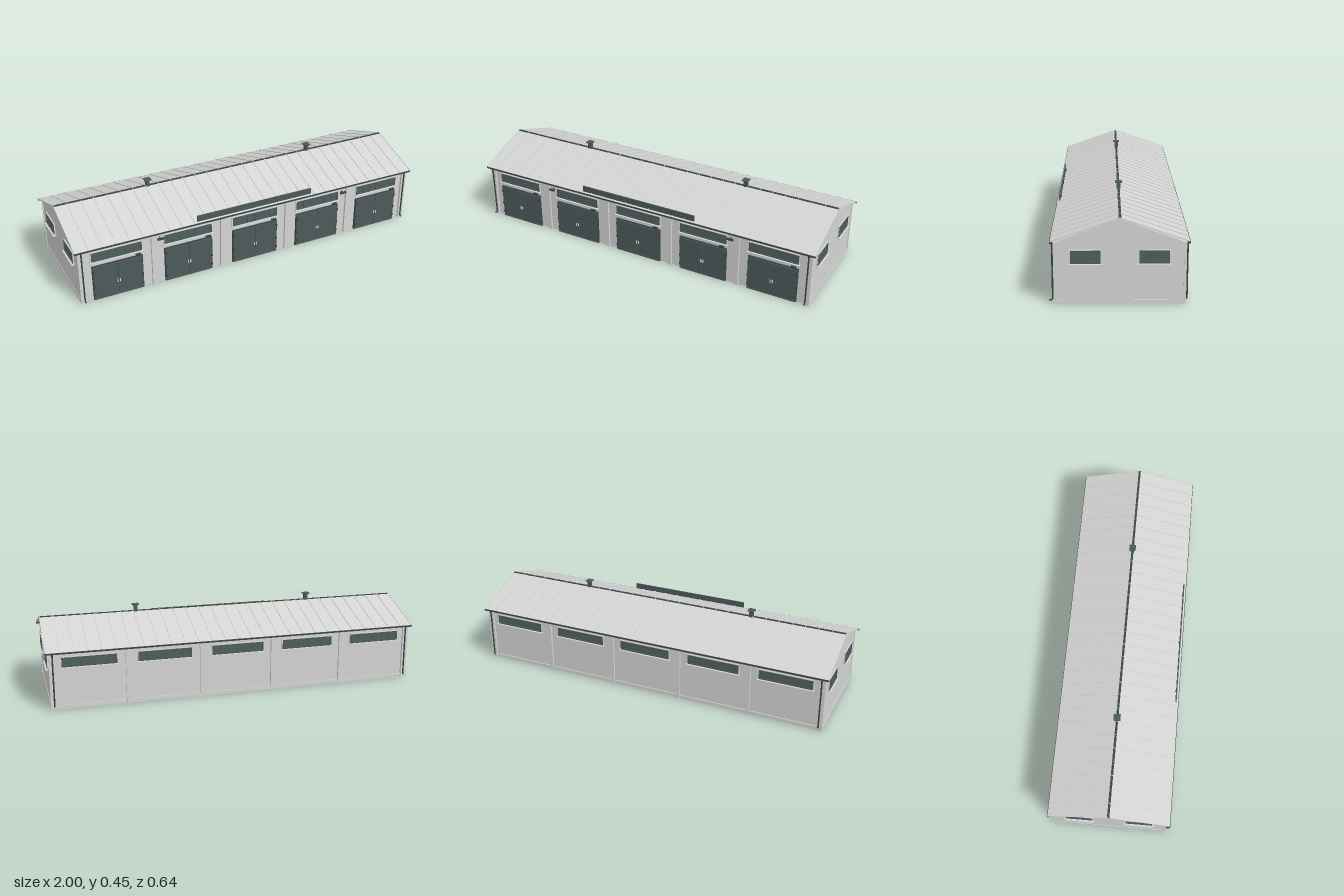
import * as THREE from 'three';

const mat = (name, color, side = THREE.FrontSide) => {
  const m = new THREE.MeshStandardMaterial({ color, side });
  m.name = name;
  return m;
};

export function createModel() {
  const wall = mat('wallGrey', 0xd6d6d6);
  const roofMat = mat('roofGrey', 0xd4d4d4, THREE.DoubleSide);
  const dark = mat('darkSteel', 0x4d5a5a);
  const trim = mat('deepSteel', 0x3c4747);
  const glass = mat('windowGlass', 0x506060);
  const metal = mat('handleMetal', 0xe0e0e0);

  const model = new THREE.Group();
  model.name = 'garageHall';
  const hall = new THREE.Group();
  hall.name = 'hall';
  hall.position.z = -0.004;
  model.add(hall);

  const box = (parent, name, m, w, h, d, x, y, z) => {
    const mesh = new THREE.Mesh(new THREE.BoxGeometry(w, h, d), m);
    mesh.name = name;
    mesh.position.set(x, y, z);
    parent.add(mesh);
    return mesh;
  };
  const group = (name, x, y, z, turn = 0) => {
    const g = new THREE.Group();
    g.name = name;
    g.position.set(x, y, z);
    g.rotation.y = turn;
    hall.add(g);
    return g;
  };

  const W = 0.98, D = 0.291;
  const bays = [-2, -1, 0, 1, 2].map(i => i * 0.39);

  // Gabled body
  const profile = new THREE.Shape();
  [[-D, 0], [D, 0], [D, 0.297], [0, 0.403], [-D, 0.297]].forEach(([a, b], i) =>
    i ? profile.lineTo(a, b) : profile.moveTo(a, b));
  const bodyGeo = new THREE.ExtrudeGeometry(profile, { depth: 2 * W, bevelEnabled: false });
  bodyGeo.translate(0, 0, -W).rotateY(Math.PI / 2);
  const body = new THREE.Mesh(bodyGeo, wall);
  body.name = 'body';
  hall.add(body);

  // Plinth, eave bands and pilasters
  for (const s of [-1, 1]) {
    box(hall, 'gablePlinth', wall, 0.004, 0.02, 2 * D, s * W, 0.01, 0);
    box(hall, 'eaveBand', wall, 2 * W, 0.015, 0.006, 0, 0.288, s * 0.293);
    for (const x of [-0.585, -0.195, 0.195, 0.585])
      box(hall, 'pilaster', wall, 0.022, 0.29, 0.012, x, 0.145, s * 0.296);
    for (const e of [-1, 1])
      box(hall, 'cornerPilaster', wall, 0.03, 0.296, 0.012, e * 0.9685, 0.148, s * 0.296);
  }
  box(hall, 'backPlinth', wall, 2 * W, 0.02, 0.006, 0, 0.01, -0.293);

  // Window unit facing +z: pane, frame, glazing bars and sill
  const windowUnit = (g, w, h, cols, rows) => {
    box(g, 'pane', glass, w, h, 0.004, 0, 0, 0.001);
    for (const s of [-1, 1]) {
      box(g, 'frameSide', dark, 0.005, h, 0.009, s * (w / 2 - 0.0025), 0, 0.0035);
      box(g, 'frameRail', dark, w, 0.005, 0.009, 0, s * (h / 2 - 0.0025), 0.0035);
      box(g, 'surroundSide', wall, 0.004, h + 0.008, 0.006, s * (w / 2 + 0.002), 0, 0.003);
    }
    box(g, 'surroundTop', wall, w, 0.004, 0.006, 0, h / 2 + 0.002, 0.003);
    for (let i = 1; i < cols; i++)
      box(g, 'verticalBar', dark, 0.003, h, 0.006, -w / 2 + w * i / cols, 0, 0.003);
    for (let i = 1; i < rows; i++)
      box(g, 'crossBar', dark, w, 0.003, 0.006, 0, -h / 2 + h * i / rows, 0.003);
    box(g, 'sill', wall, w + 0.016, 0.005, 0.018, 0, -h / 2 - 0.0035, 0.008);
  };

  for (const x of bays) {
    windowUnit(group('backWindow', x, 0.246, -D, Math.PI), 0.28, 0.05, 6, 2);
    windowUnit(group('transomWindow', x, 0.246, D), 0.266, 0.05, 6, 2);

    // Double doors with rails, hinges and handles
    const door = group('doubleDoor', x, 0, D);
    box(door, 'doorFrame', trim, 0.27, 0.194, 0.008, 0, 0.097, 0.004);
    for (const s of [-1, 1]) {
      box(door, 'doorLeaf', dark, 0.131, 0.188, 0.006, s * 0.0665, 0.096, 0.009);
      for (const y of [0.006, 0.097, 0.185])
        box(door, 'doorRail', dark, 0.131, 0.007, 0.003, s * 0.0665, y, 0.0125);
      for (const y of [0.033, 0.086, 0.165])
        box(door, 'hinge', trim, 0.008, 0.012, 0.008, s * 0.129, y, 0.013);
      box(door, 'handle', metal, 0.004, 0.016, 0.005, s * 0.006, 0.084, 0.0145);
    }
    box(door, 'doorLamp', trim, 0.025, 0.01, 0.014, 0.11, 0.206, 0.012);
  }
  for (const e of [-1, 1])
    for (const z of [-0.156, 0.156])
      windowUnit(group('gableWindow', e * W, 0.226, z, e * Math.PI / 2), 0.138, 0.062, 3, 2);

  // Floodlights on the front wall
  for (const e of [-1, 1]) {
    box(hall, 'floodlightArm', trim, 0.006, 0.006, 0.015, e * 0.548, 0.265, 0.299);
    box(hall, 'floodlight', trim, 0.035, 0.009, 0.01, e * 0.548, 0.265, 0.311);
  }

  // Thin roof slopes with standing seams, gutters and downpipes
  const run = 0.314, drop = 0.109, length = Math.hypot(run, drop);
  for (const s of [-1, 1]) {
    const slope = group(s > 0 ? 'frontRoof' : 'backRoof', 0, 0.357, s * run / 2);
    slope.rotation.x = s * Math.atan2(drop, run);
    box(slope, 'roofSheet', roofMat, 2, 0.003, length, 0, 0, 0);
    for (let i = 0; i <= 28; i++)
      box(slope, 'seam', roofMat, 0.003, 0.003, length, -0.9985 + i * 1.997 / 28, 0.003, 0);
    box(hall, 'gutter', trim, 2, 0.008, 0.009, 0, 0.299, s * 0.3125);
    for (const e of [-1, 1]) {
      const x = e * 0.965;
      const points = [[0.298, 0.312], [0.288, 0.308], [0.27, 0.307], [0.03, 0.307], [0.018, 0.307]];
      if (s > 0) points.push([0.011, 0.323]);
      const path = new THREE.CurvePath();
      for (let i = 1; i < points.length; i++)
        path.add(new THREE.LineCurve3(
          new THREE.Vector3(x, points[i - 1][0], s * points[i - 1][1]),
          new THREE.Vector3(x, points[i][0], s * points[i][1])));
      const pipe = new THREE.Mesh(new THREE.TubeGeometry(path, 40, 0.004, 8), trim);
      pipe.name = 'downpipe';
      hall.add(pipe);
    }
  }
  box(hall, 'ridgeCap', trim, 2, 0.005, 0.012, 0, 0.412, 0);

  // Ridge vents
  for (const x of [-0.488, 0.488]) {
    box(hall, 'ventShaft', dark, 0.02, 0.038, 0.02, x, 0.427, 0);
    box(hall, 'ventCap', dark, 0.036, 0.005, 0.036, x, 0.4475, 0);
  }

  // Blank sign board standing above the front eave
  box(hall, 'signBoard', dark, 0.68, 0.036, 0.006, 0, 0.322, 0.302);
  for (const x of [-0.28, 0, 0.28])
    box(hall, 'signPost', trim, 0.006, 0.03, 0.004, x, 0.312, 0.297);

  return model;
}
